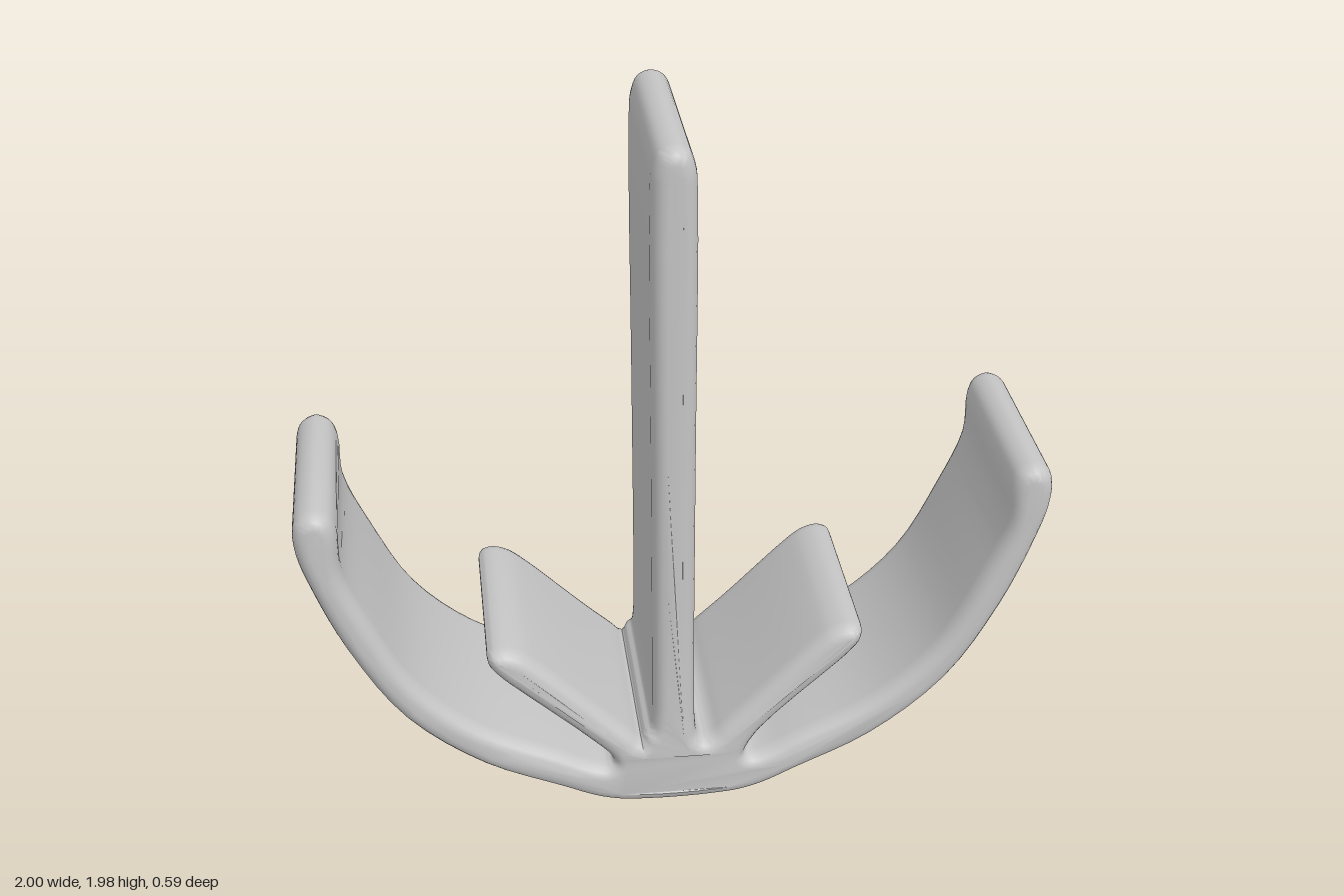
import * as THREE from 'three';
import { mergeVertices, toCreasedNormals } from 'three/addons/utils/BufferGeometryUtils.js';

// Curved side arm, from the underside out around the tip and back to the hub
const ARM = [
  [0.1, 0.004], [0.17, 0.008], [0.24, 0.025], [0.33, 0.065], [0.545, 0.17], [0.75, 0.35], [0.89, 0.59],
  [0.97, 0.8], [0.997, 0.9], [1, 0.97], [0.985, 1.01], [0.945, 1.03], [0.905, 1.012],
  [0.888, 0.97], [0.884, 0.84], [0.82, 0.67], [0.71, 0.455], [0.545, 0.295], [0.33, 0.185], [0.25, 0.145],
  [0.205, 0.135], [0.188, 0.145], [0.195, 0.168],
];
// Short diagonal prong, then the notch leading up to the stem
const PRONG = [
  [0.24, 0.225], [0.45, 0.428], [0.485, 0.465], [0.512, 0.505], [0.51, 0.54], [0.475, 0.553],
  [0.43, 0.54], [0.39, 0.51], [0.2, 0.315], [0.13, 0.245], [0.1, 0.215],
];
const NOTCH = [[0.082, 0.207], [0.066, 0.222], [0.06, 0.26], [0.058, 0.36]];
const STEM = [[0.058, 1.1], [0.058, 1.87], [0.053, 1.93], [0.035, 1.973]];
const SHIFT = -0.015; // the stem sits slightly off centre

function outline() {
  const half = (side) => [
    ...ARM.map(([x, y]) => [side * x, y]),
    ...PRONG.map(([x, y]) => [side * x + SHIFT / 2, y]),
    ...NOTCH.map(([x, y]) => [side * x + SHIFT, y + (side < 0 ? 0.03 : 0)]),
    ...STEM.map(([x, y]) => [side * x + SHIFT, y]),
  ];
  const pts = [...half(1), [SHIFT, 1.987], ...half(-1).reverse()];
  const curve = new THREE.CatmullRomCurve3(
    pts.map(([x, y]) => new THREE.Vector3(x, y, 0)), true, 'centripetal');
  return curve.getPoints(pts.length * 4).slice(0, -1).map((p) => new THREE.Vector2(p.x, p.y));
}

export function createModel() {
  const group = new THREE.Group();
  const grey = new THREE.MeshStandardMaterial({ color: 0xc4c4c4 });
  grey.name = 'light grey';

  // One rounded slab: stem, prongs and arms flow together at the hub
  const bevel = 0.05;
  const depth = 0.56;
  let geometry = new THREE.ExtrudeGeometry(new THREE.Shape(outline()), {
    depth: depth - 2 * bevel, steps: 1, bevelEnabled: true,
    bevelThickness: bevel, bevelSize: 0.038, bevelOffset: -0.038, bevelSegments: 5,
  });
  geometry.translate(0, 0, -depth / 2 + bevel);

  // Slight swelling of the hub towards front and back
  const pos = geometry.attributes.position;
  for (let i = 0; i < pos.count; i++) {
    const x = pos.getX(i), y = pos.getY(i) - 0.1;
    pos.setZ(i, pos.getZ(i) * (1 + 0.06 * Math.exp(-(x * x + y * y) / 0.06)));
  }
  geometry.deleteAttribute('normal');
  geometry.deleteAttribute('uv');
  geometry = toCreasedNormals(mergeVertices(geometry, 1e-5), 0.75);

  const body = new THREE.Mesh(geometry, grey);
  body.name = 'stemProngsAndArms';
  group.add(body);
  return group;
}
